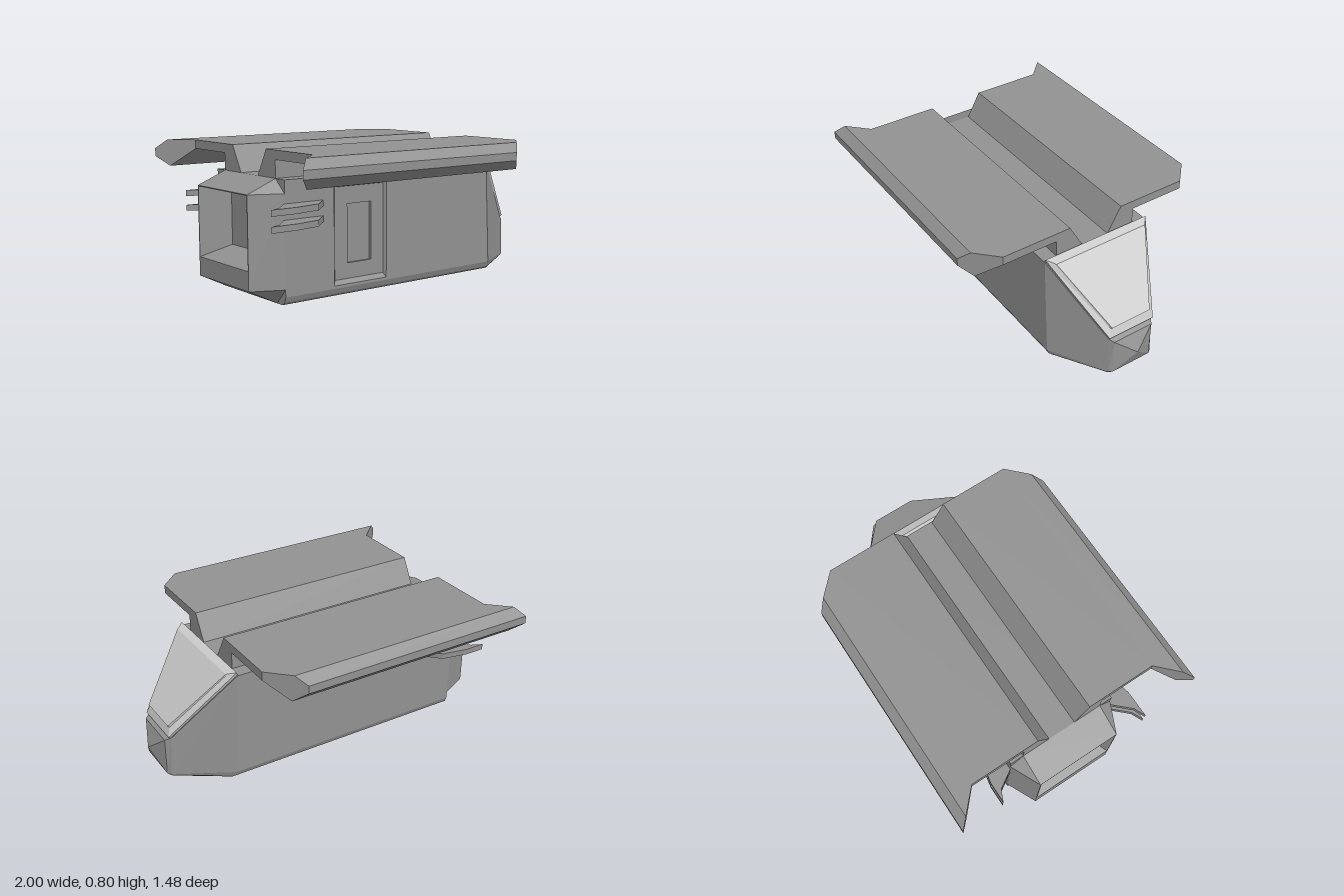
import * as THREE from 'three';

const paint = color => new THREE.MeshStandardMaterial({ color, flatShading: true, side: THREE.DoubleSide });
const bodyPaint = paint(0x929292);
const screenPaint = paint(0xcccccc);

function addMesh(group, name, geometry, material = bodyPaint) {
  const mesh = new THREE.Mesh(geometry, material);
  mesh.name = name;
  group.add(mesh);
}

// Joins closed rings of [x, y, z] points with flat faces; skip(segment, side) leaves a face out
function loft(rings, { capStart = false, capEnd = false, skip = () => false } = {}) {
  const pos = [];
  const tri = (a, b, c) => pos.push(...a, ...b, ...c);
  for (let r = 0; r < rings.length - 1; r++) {
    const A = rings[r], B = rings[r + 1], n = A.length;
    for (let i = 0; i < n; i++) {
      if (skip(r, i)) continue;
      const j = (i + 1) % n;
      tri(A[i], B[i], B[j]);
      tri(A[i], B[j], A[j]);
    }
  }
  const fan = (ring, flip) => {
    for (let i = 1; i < ring.length - 1; i++) {
      if (flip) tri(ring[0], ring[i + 1], ring[i]);
      else tri(ring[0], ring[i], ring[i + 1]);
    }
  };
  if (capStart) fan(rings[0], false);
  if (capEnd) fan(rings[rings.length - 1], true);
  const g = new THREE.BufferGeometry();
  g.setAttribute('position', new THREE.Float32BufferAttribute(pos, 3));
  g.computeVertexNormals();
  return g;
}

// Left half of a ring completed by its mirror image
const mirrorRing = half => [...half, ...half.slice().reverse().map(([x, y, z]) => [x, y, -z])];

// Rectangle in the XY plane at depth z
const rectXY = ([x0, x1, y0, y1], z) => [[x0, y0, z], [x0, y1, z], [x1, y1, z], [x1, y0, z]];

// Upright rectangle across the vehicle at position x
const rectYZ = (x, hz, y0, y1) => mirrorRing([[x, y0, hz], [x, y1, hz]]);

function panel(outline, hole, z) {
  const shape = new THREE.Shape(outline.map(p => new THREE.Vector2(p[0], p[1])));
  shape.holes.push(new THREE.Path(rectXY(hole, 0).map(p => new THREE.Vector2(p[0], p[1]))));
  return new THREE.ShapeGeometry(shape).translate(0, 0, z);
}

function extrude(points, depth) {
  const shape = new THREE.Shape(points.map(p => new THREE.Vector2(...p)));
  return new THREE.ExtrudeGeometry(shape, { depth, bevelEnabled: false });
}

function createHull(model) {
  const tip = [1, 0.15, 0];
  const rings = [
    [[-0.83, 0, 0.30], [-0.83, 0.015, 0.318], [-0.83, 0.045, 0.33], [-0.83, 0.65, 0.33]],
    [[0.64, 0, 0.30], [0.635, 0.015, 0.318], [0.63, 0.045, 0.33], [0.60, 0.65, 0.33]],
    [[0.91, 0.01, 0.14], [0.925, 0.017, 0.143], [0.935, 0.03, 0.145], [0.92, 0.265, 0.145]],
    [[0.95, 0.03, 0.125], [0.95, 0.03, 0.125], [0.95, 0.03, 0.125], [0.95, 0.25, 0.125]],
    [tip, tip, tip, tip],
  ].map(mirrorRing);
  // The door side is a separate panel with an opening
  addMesh(model, 'hull', loft(rings, { capStart: true, skip: (r, i) => r === 0 && i === 2 }));

  const door = [-0.52, -0.165, 0.06, 0.60], inner = [-0.505, -0.175, 0.085, 0.585];
  const window = [-0.42, -0.26, 0.17, 0.49];
  addMesh(model, 'doorSide', panel([[-0.83, 0.045], [0.63, 0.045], [0.60, 0.65], [-0.83, 0.65]], door, 0.33));
  addMesh(model, 'doorFrame', loft([rectXY(door, 0.33), rectXY(inner, 0.312)]));
  addMesh(model, 'doorPanel', panel(rectXY(inner, 0), window, 0.312));
  addMesh(model, 'doorWindow', loft([rectXY(window, 0.312), rectXY(window, 0.297)], { capEnd: true }));
}

function createRear(model) {
  // Tapered tail with cut corners, then a rim and a recessed bay
  const base = mirrorRing([[-0.83, 0, 0.25], [-0.83, 0.085, 0.33], [-0.83, 0.58, 0.33], [-0.83, 0.65, 0.25]]);
  const end = mirrorRing([[-1, 0.085, 0.25], [-1, 0.085, 0.25], [-1, 0.58, 0.25], [-1, 0.58, 0.25]]);
  addMesh(model, 'tail', loft([end, base]));
  addMesh(model, 'rearBay', loft([
    rectYZ(-1, 0.25, 0.085, 0.58),
    rectYZ(-1, 0.245, 0.19, 0.575),
    rectYZ(-0.84, 0.17, 0.25, 0.54),
  ], { capEnd: true }));
}

function createWindscreen(model) {
  // Bevelled frame around a slightly raised pane
  const rings = [
    [[0.59, 0.64, 0.322], [0.915, 0.258, 0.138]],
    [[0.605, 0.67, 0.33], [0.935, 0.275, 0.145]],
    [[0.64, 0.658, 0.298], [0.918, 0.323, 0.127]],
    [[0.65, 0.655, 0.292], [0.926, 0.333, 0.125]],
  ].map(mirrorRing);
  addMesh(model, 'windscreen', loft(rings, { capEnd: true }), screenPaint);
}

function createRoofWing(side) {
  const wing = new THREE.Group();
  wing.name = side > 0 ? 'frontRoofWing' : 'backRoofWing';
  const slab = [[0.08, 0.645], [0.165, 0.795], [0.575, 0.795], [0.575, 0.745], [0.25, 0.745], [0.25, 0.645]];
  const edge = [[0.575, 0.745], [0.575, 0.795], [0.69, 0.795], [0.74, 0.745], [0.74, 0.70], [0.68, 0.645]];
  for (const [name, profile] of [['wingSlab', slab], ['wingEdge', edge]]) {
    const g = extrude(profile.map(([z, y]) => [-side * z, y]), 1.42);
    g.rotateY(Math.PI / 2).translate(-0.83, 0, 0);
    // Sweep the outer edge backwards
    const p = g.attributes.position;
    for (let i = 0; i < p.count; i++) {
      p.setX(i, p.getX(i) - 1.03 * Math.max(0, Math.abs(p.getZ(i)) - 0.575));
    }
    g.computeVertexNormals();
    addMesh(wing, name, g);
  }
  return wing;
}

function createFins(model, side) {
  const tipX = side > 0 ? -0.995 : -0.96;
  const outline = [[-0.585, 0.325], [-0.69, 0.43], [-0.84, 0.46], [tipX, 0.46], [tipX + 0.065, 0.43], [-0.83, 0.325]];
  for (const y of [0.412, 0.495]) {
    const g = extrude(outline.map(([x, z]) => [x, -side * z]), 0.033);
    addMesh(model, 'sideFin', g.rotateX(-Math.PI / 2).translate(0, y, 0));
  }
}

export function createModel() {
  const model = new THREE.Group();
  model.name = 'shuttle';
  createHull(model);
  createRear(model);
  createWindscreen(model);
  for (const side of [1, -1]) {
    model.add(createRoofWing(side));
    createFins(model, side);
  }
  return model;
}
